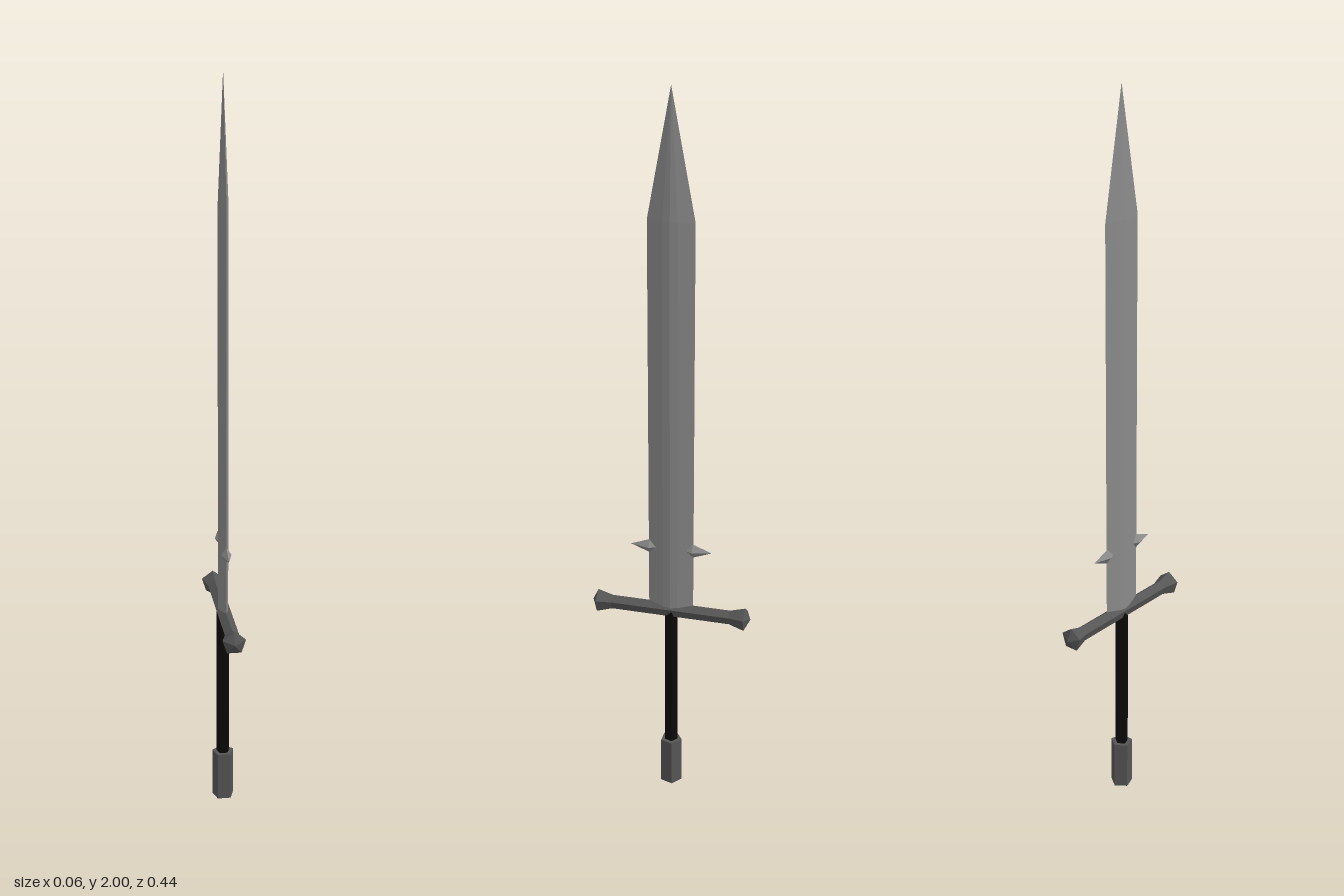
import * as THREE from 'three';

const material = (color) => new THREE.MeshStandardMaterial({ color, flatShading: true });

// Solid skinned over rings of points (each ring the same length), closed at both ends
function loft(rings) {
  const n = rings[0].length, pos = [];
  const tri = (a, b, c) => pos.push(...a, ...b, ...c);
  for (let k = 0; k < rings.length - 1; k++) {
    for (let i = 0; i < n; i++) {
      const j = (i + 1) % n, a = rings[k], b = rings[k + 1];
      tri(a[i], b[i], b[j]);
      tri(a[i], b[j], a[j]);
    }
  }
  const first = rings[0], last = rings[rings.length - 1];
  for (let i = 1; i < n - 1; i++) {
    tri(first[0], first[i], first[i + 1]);
    tri(last[0], last[i + 1], last[i]);
  }
  const g = new THREE.BufferGeometry();
  g.setAttribute('position', new THREE.Float32BufferAttribute(pos, 3));
  g.computeVertexNormals();
  return g;
}

export function createModel() {
  const group = new THREE.Group();
  const steel = material(0x8a8a8a), darkSteel = material(0x555555), leather = material(0x0a0a0a);
  const add = (name, geometry, mat) => {
    const mesh = new THREE.Mesh(geometry, mat);
    mesh.name = name;
    group.add(mesh);
    return mesh;
  };

  // Blade: ridged section, constant up to the shoulders, then tapering to a point
  const section = [[0, 0.062], [0.011, 0.02], [0.014, 0], [0.011, -0.02],
    [0, -0.062], [-0.011, -0.02], [-0.014, 0], [-0.011, 0.02]];
  const bladeRing = (y, s) => section.map(([x, z]) => [x * s, y, z * s]).reverse();
  add('blade', loft([bladeRing(0.56, 1), bladeRing(1.665, 1), bladeRing(2, 0.001)]
    .map((r) => r.reverse())
    .map((r) => r.slice().reverse())), steel);

  // Parrying spikes: stretched four-sided points on each edge of the blade
  for (const side of [1, -1]) {
    const profile = [[0, -0.03], [0.02, 0], [0, 0.052]].map(([r, y]) => new THREE.Vector2(r, y));
    const g = new THREE.LatheGeometry(profile, 4);
    g.scale(0.7, 1, 1);
    g.rotateX(side * Math.PI / 2);
    const spike = add(side > 0 ? 'frontSpike' : 'backSpike', g, steel);
    spike.position.set(0, 0.75, side * 0.06);
  }

  // Crossguard: five-sided bar with flared, pointed ends and one edge on top
  const guardProfile = [[0, -0.222], [0.0325, -0.207], [0.02, -0.165],
    [0.02, 0.165], [0.0325, 0.207], [0, 0.222]].map(([r, y]) => new THREE.Vector2(r, y));
  const guard = new THREE.LatheGeometry(guardProfile, 5, Math.PI);
  guard.rotateX(Math.PI / 2);
  add('crossguard', guard, darkSteel).position.y = 0.561;

  // Grip and pommel: five-sided prisms with one edge towards the back
  const prism = (r, y0, y1) => new THREE.CylinderGeometry(r, r, y1 - y0, 5, 1, false, Math.PI)
    .translate(0, (y0 + y1) / 2, 0);
  add('grip', prism(0.018, 0.13, 0.56), leather);
  add('pommel', prism(0.0305, 0, 0.137), darkSteel);

  return group;
}
